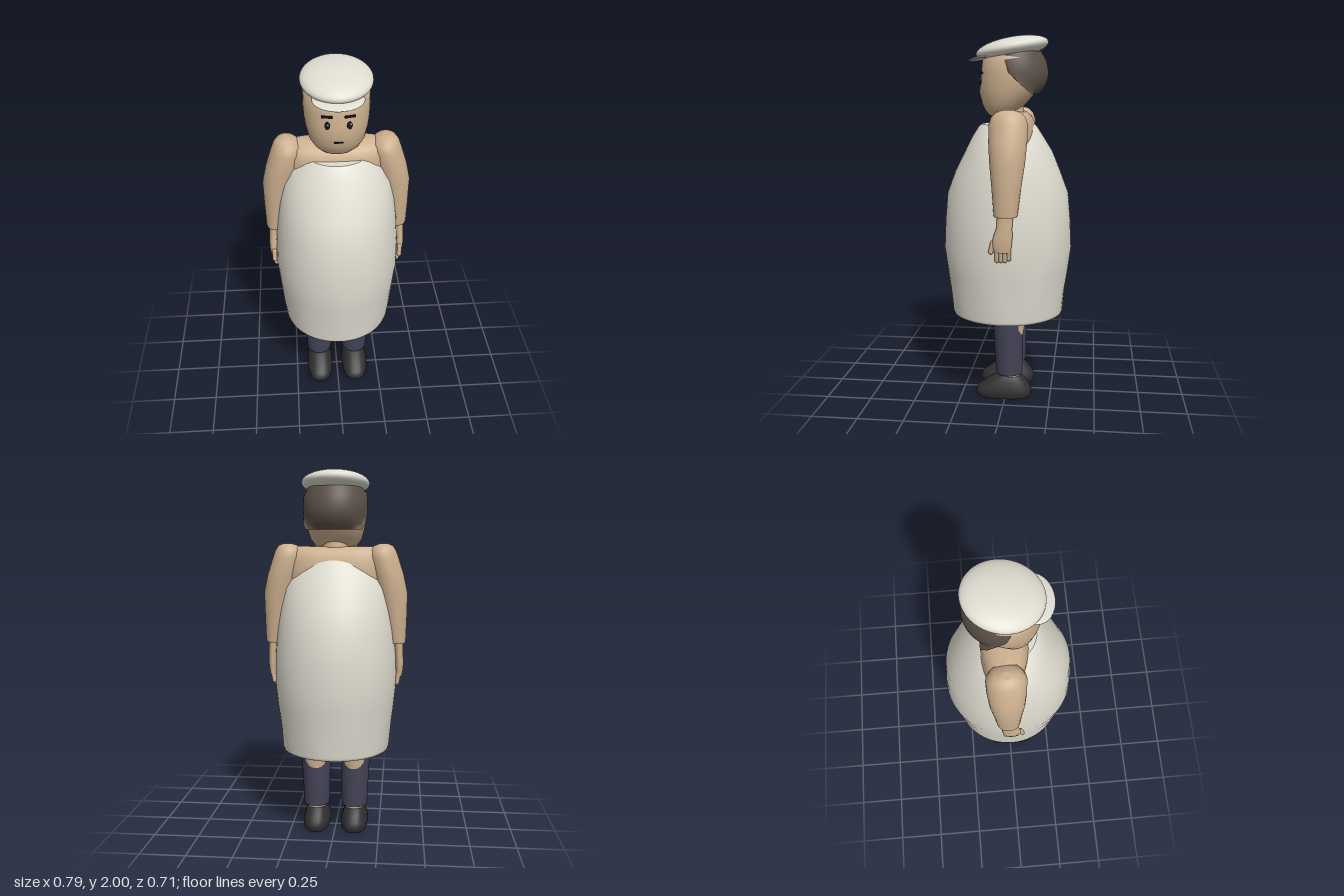
import * as THREE from 'three';

const mat = (name, color) => {
  const m = new THREE.MeshStandardMaterial({ color });
  m.name = name;
  return m;
};

// Stacks elliptical rings [y, cx, cz, rx, rz] from bottom to top; power > 2 is boxier
function loft(rows, segs = 32, power = 2, adjust = null) {
  const pos = [], idx = [], n = segs;
  const ring = ([y, cx, cz, rx, rz]) => {
    for (let j = 0; j < n; j++) {
      const t = (j / n) * Math.PI * 2, c = Math.cos(t), s = Math.sin(t);
      const p = new THREE.Vector3(
        cx + rx * Math.sign(c) * Math.abs(c) ** (2 / power), y,
        cz + rz * Math.sign(s) * Math.abs(s) ** (2 / power));
      if (adjust) adjust(p, t);
      pos.push(p.x, p.y, p.z);
    }
  };
  rows.forEach(ring);
  for (let i = 0; i < rows.length - 1; i++) {
    for (let j = 0; j < n; j++) {
      const a = i * n + j, b = i * n + (j + 1) % n;
      idx.push(a, a + n, b, b, a + n, b + n);
    }
  }
  // flat end caps
  [rows[0], rows[rows.length - 1]].forEach((row, top) => {
    const start = pos.length / 3;
    ring(row);
    let cz = 0;
    for (let j = 0; j < n; j++) cz += pos[(start + j) * 3 + 2] / n;
    pos.push(row[1], row[0], cz);
    for (let j = 0; j < n; j++) {
      const a = start + j, b = start + (j + 1) % n;
      if (top) idx.push(start + n, b, a);
      else idx.push(start + n, a, b);
    }
  });
  const g = new THREE.BufferGeometry();
  g.setAttribute('position', new THREE.Float32BufferAttribute(pos, 3));
  g.setIndex(idx);
  g.computeVertexNormals();
  return g;
}

export function createModel() {
  const skin = mat('skin', 0xcdb08f), cream = mat('cream cloth', 0xdfdcd0);
  const navy = mat('navy cloth', 0x434357), hairMat = mat('brown hair', 0x5b5047);
  const leather = mat('dark leather', 0x303030), ink = mat('face black', 0x1a1a1a);
  const white = mat('eye glint', 0xf0f0f0);

  const model = new THREE.Group();
  model.name = 'figure';
  const add = (name, geometry, material, parent = model) => {
    const m = new THREE.Mesh(geometry, material);
    m.name = name;
    parent.add(m);
    return m;
  };

  // Barrel-shaped apron with faint folds near the hem
  add('apron', loft([
    [0.47, 0, 0, 0.288, 0.298], [0.474, 0, 0, 0.295, 0.306], [0.488, 0, 0, 0.3, 0.311],
    [0.6, 0, 0, 0.311, 0.322], [0.72, 0, 0, 0.325, 0.338], [0.85, 0, 0, 0.338, 0.355],
    [1.0, 0, 0, 0.336, 0.348], [1.15, 0, 0, 0.323, 0.335], [1.27, 0, 0, 0.308, 0.29],
    [1.38, 0, -0.005, 0.286, 0.24], [1.46, 0, 0, 0.24, 0.195], [1.515, 0, 0, 0.185, 0.16],
    [1.53, 0, 0, 0.16, 0.143],
  ], 64, 2, (p, t) => {
    const fold = 1 + 0.008 * Math.sin(t * 9) * Math.max(0, 1 - Math.abs(p.y - 0.6) / 0.13);
    p.x *= fold;
    p.z *= fold;
  }), cream);

  // Upper torso and neck
  add('torso', loft([
    [1.3, 0, -0.03, 0.25, 0.11], [1.45, 0, -0.03, 0.26, 0.125], [1.53, 0, -0.025, 0.26, 0.12],
    [1.57, 0, -0.03, 0.25, 0.095], [1.592, 0, -0.035, 0.23, 0.06], [1.6, 0, -0.035, 0.2, 0.025],
  ], 40, 2.6), skin);
  add('neck', loft([
    [1.5, 0, -0.01, 0.09, 0.1], [1.55, 0, -0.01, 0.077, 0.08], [1.66, 0, -0.01, 0.075, 0.075],
  ]), skin);

  // Head
  const headRows = [
    [1.568, 0, 0.035, 0.05, 0.045], [1.578, 0, 0.033, 0.083, 0.068], [1.6, 0, 0.03, 0.113, 0.09],
    [1.64, 0, 0.02, 0.141, 0.12], [1.7, 0, 0, 0.158, 0.154], [1.75, 0, -0.012, 0.166, 0.162],
    [1.8, 0, -0.02, 0.169, 0.165], [1.88, 0, -0.025, 0.166, 0.16], [1.93, 0, -0.025, 0.11, 0.11],
  ];
  add('head', loft(headRows, 48), skin);

  // Hair wraps the back of the head, cut along a slanted plane
  add('hair', loft([
    [1.69, 0, -0.02, 0.15, 0.145], [1.72, 0, -0.03, 0.167, 0.165], [1.76, 0, -0.035, 0.172, 0.179],
    [1.8, 0, -0.035, 0.174, 0.185], [1.86, 0, -0.035, 0.172, 0.175], [1.915, 0, -0.035, 0.145, 0.145],
  ], 64, 2, p => { p.z = Math.min(p.z, Math.min(0, (p.y - 1.82) * 1.1)); }), hairMat);

  // Puts a thin plate on the face surface at x, y
  const onFace = (mesh, x, y, lift = 0.002) => {
    const i = headRows.findIndex(r => r[0] > y);
    const a = headRows[i - 1], b = headRows[i], k = (y - a[0]) / (b[0] - a[0]);
    const [, , cz, rx, rz] = a.map((v, q) => v + (b[q] - v) * k);
    const z = rz * Math.sqrt(1 - (x / rx) ** 2);
    mesh.position.set(x, y, cz + z + lift);
    mesh.rotation.y = Math.atan2(x / rx ** 2, z / rz ** 2);
  };
  const disc = (rx, ry) => new THREE.CylinderGeometry(1, 1, 0.006, 20).rotateX(Math.PI / 2).scale(rx, ry, 1);
  for (const s of [-1, 1]) {
    onFace(add('eye', disc(0.014, 0.02), ink), s * 0.055, 1.758);
    onFace(add('eyeGlint', disc(0.004, 0.005), white), s * 0.055 + 0.004, 1.765, 0.004);
    const brow = add('eyebrow', new THREE.BoxGeometry(0.056, 0.011, 0.008), ink);
    onFace(brow, s * 0.057, 1.803);
    brow.rotation.z = -s * 0.06;
  }
  onFace(add('mouth', new THREE.BoxGeometry(0.046, 0.006, 0.008), ink), 0, 1.668);

  // Flat cap tipped forward, with a short brim
  const cap = add('cap', new THREE.SphereGeometry(1, 48, 24).scale(0.183, 0.06, 0.198), cream);
  cap.position.set(0, 1.932, -0.023);
  cap.rotation.x = 0.18;
  const brim = add('capBrim', new THREE.SphereGeometry(1, 32, 12).scale(0.13, 0.012, 0.1), cream);
  brim.position.set(0, 1.886, 0.117);
  brim.rotation.x = 0.2;

  for (const s of [1, -1]) {
    const side = s > 0 ? 'left' : 'right';
    const flip = rows => rows.map(([y, x, ...r]) => [y, s * x, ...r]);

    // Arm, wrist and hand
    add(side + 'Arm', loft(flip([
      [1.075, 0.338, -0.025, 0.046, 0.058], [1.085, 0.338, -0.025, 0.049, 0.062],
      [1.2, 0.325, -0.027, 0.066, 0.074], [1.35, 0.308, -0.03, 0.086, 0.092],
      [1.45, 0.283, -0.03, 0.089, 0.1], [1.54, 0.258, -0.03, 0.085, 0.102],
      [1.58, 0.255, -0.03, 0.073, 0.088], [1.605, 0.26, -0.03, 0.05, 0.062],
      [1.615, 0.262, -0.03, 0.02, 0.025],
    ]), 28), skin);
    add(side + 'Hand', loft(flip([
      [0.89, 0.352, -0.01, 0.018, 0.042], [0.93, 0.353, -0.007, 0.023, 0.052],
      [0.97, 0.353, -0.012, 0.024, 0.05], [1.02, 0.35, -0.02, 0.024, 0.041],
      [1.09, 0.345, -0.024, 0.027, 0.042],
    ]), 20), skin);
    for (let i = 0; i < 4; i++) {
      const f = add(side + 'Finger', new THREE.CapsuleGeometry(0.0125, 0.06, 4, 10), skin);
      f.position.set(s * 0.347, 0.875 + (i === 0 ? 0.01 : 0), -0.043 + i * 0.021);
      f.rotation.z = -s * 0.15;
    }
    const thumb = add(side + 'Thumb', new THREE.CapsuleGeometry(0.013, 0.05, 4, 10), skin);
    thumb.position.set(s * 0.35, 0.915, 0.046);
    thumb.rotation.x = -0.2;

    // Calf shows through the back of the trouser leg near the top
    add(side + 'Calf', loft(flip([
      [0.09, 0.108, -0.03, 0.048, 0.05], [0.2, 0.108, -0.03, 0.055, 0.06],
      [0.36, 0.11, -0.03, 0.068, 0.067], [0.41, 0.11, -0.03, 0.072, 0.076],
      [0.52, 0.11, -0.03, 0.074, 0.079],
    ]), 24), skin);
    add(side + 'TrouserLeg', loft(flip([
      [0.138, 0.108, -0.02, 0.069, 0.071], [0.146, 0.108, -0.02, 0.073, 0.075],
      [0.3, 0.11, -0.017, 0.078, 0.08], [0.52, 0.113, -0.012, 0.087, 0.088],
    ]), 32), navy);

    // Shoe
    add(side + 'Shoe', loft(flip([
      [0, 0.108, 0.012, 0.066, 0.144], [0.012, 0.108, 0.012, 0.074, 0.154],
      [0.035, 0.108, 0.012, 0.078, 0.158], [0.06, 0.108, 0.008, 0.075, 0.146],
      [0.095, 0.108, -0.005, 0.064, 0.108], [0.122, 0.108, -0.015, 0.052, 0.074],
      [0.134, 0.108, -0.02, 0.038, 0.05],
    ]), 32, 2.5), leather);
  }
  return model;
}
